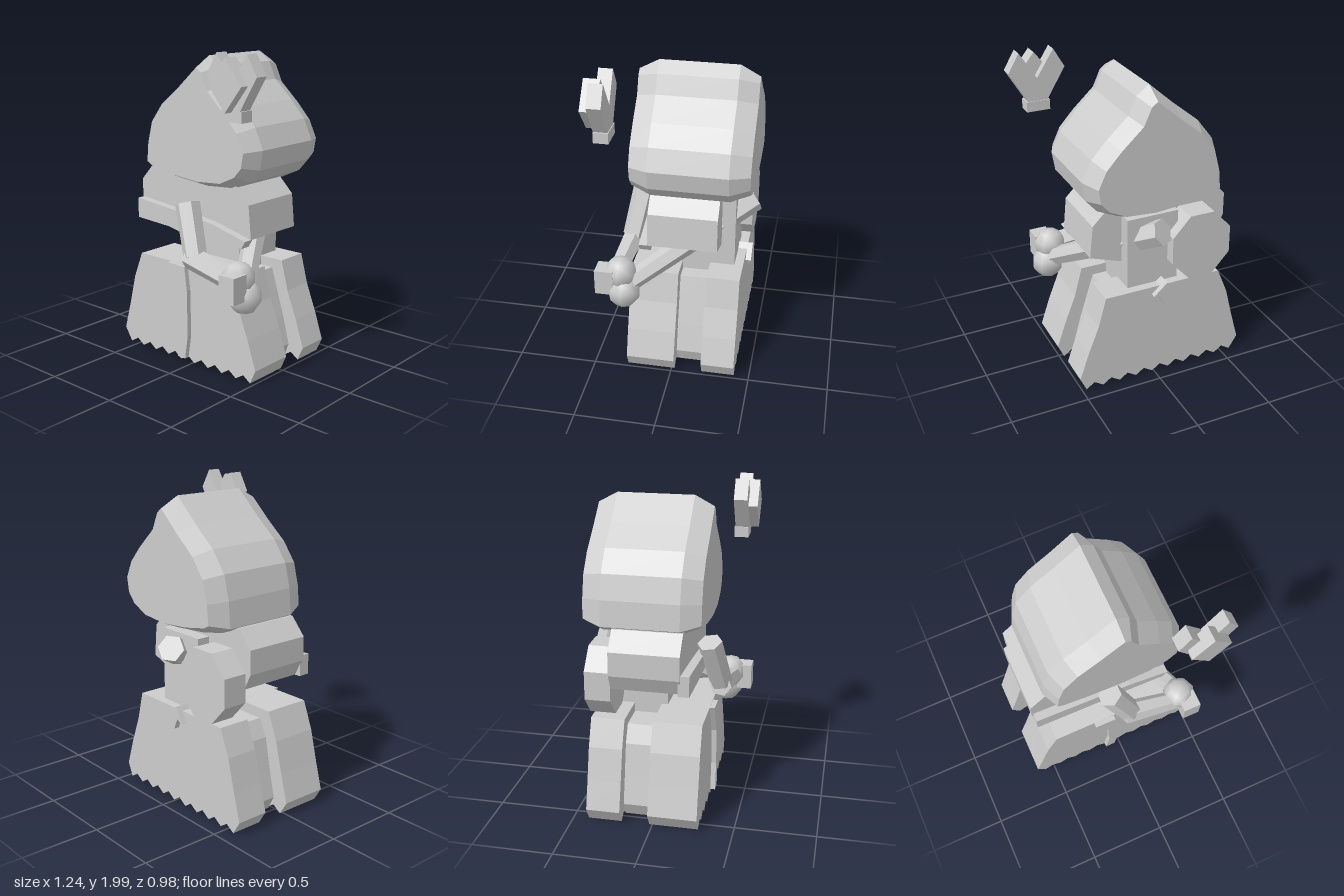
import * as THREE from 'three';

const cloth = new THREE.MeshStandardMaterial({ color: 0xcccccc, flatShading: true });
cloth.name = 'plain grey';
const smooth = new THREE.MeshStandardMaterial({ color: 0xcccccc });
smooth.name = 'smooth grey';

export function createModel() {
  const model = new THREE.Group();

  const add = (name, geometry, material = cloth) => {
    const mesh = new THREE.Mesh(geometry, material);
    mesh.name = name;
    model.add(mesh);
    return mesh;
  };

  // Flat outline extruded between two z planes, with an optional inward bevel
  const slab = (name, points, z0, z1, bevelSize = 0, bevelDepth = 0) => {
    const shape = new THREE.Shape(points.map(([x, y]) => new THREE.Vector2(x, y)));
    const geometry = new THREE.ExtrudeGeometry(shape, {
      depth: z1 - z0 - 2 * bevelDepth,
      bevelEnabled: bevelSize > 0,
      bevelSegments: 1,
      bevelSize,
      bevelOffset: -bevelSize,
      bevelThickness: bevelDepth,
    });
    geometry.translate(0, 0, z0 + bevelDepth);
    return add(name, geometry);
  };

  // Six-sided rod between two points
  const rod = (name, from, to, r0, r1) => {
    const a = new THREE.Vector3(...from);
    const b = new THREE.Vector3(...to);
    const mesh = add(name, new THREE.CylinderGeometry(r1, r0, a.distanceTo(b), 6));
    mesh.position.copy(a).lerp(b, 0.5);
    mesh.quaternion.setFromUnitVectors(new THREE.Vector3(0, 1, 0), b.clone().sub(a).normalize());
    return mesh;
  };

  const box = (name, x0, x1, y0, y1, z0, z1) =>
    add(name, new THREE.BoxGeometry(x1 - x0, y1 - y0, z1 - z0))
      .position.set((x0 + x1) / 2, (y0 + y1) / 2, (z0 + z1) / 2);

  // Pointed hood
  slab('hood', [
    [0.02, 1.95], [-0.15, 1.8], [-0.3, 1.68], [-0.4, 1.55], [-0.44, 1.4], [-0.455, 1.24],
    [-0.38, 1.2], [-0.2, 1.165], [0.02, 1.145], [0.22, 1.16], [0.35, 1.22], [0.42, 1.3],
    [0.44, 1.42], [0.38, 1.55], [0.28, 1.66], [0.15, 1.78], [0.1, 1.89],
  ], -0.455, 0.265, 0.05, 0.12);

  // Shoulder cape and the band across it
  slab('cape', [
    [-0.45, 1.23], [-0.55, 1.12], [-0.55, 0.97], [-0.5, 0.87], [-0.2, 0.81], [0.08, 0.77],
    [0.37, 0.87], [0.35, 1.08], [0.25, 1.18],
  ], -0.265, 0.165);
  slab('capeBand', [
    [-0.54, 1.0], [-0.54, 0.87], [-0.18, 0.85], [0.15, 0.84], [0.34, 0.82], [0.37, 0.87],
    [0.1, 0.935], [-0.16, 0.965],
  ], 0.15, 0.22);

  // Torso
  box('torso', -0.18, 0.16, 0.55, 1.12, -0.35, 0.02);

  // Skirt panels with a ragged hem
  const skirt = (name, scale, top, z0, z1) => {
    const outline = [
      [-0.45, top], [-0.52, 0.48], [-0.57, 0.28], [-0.62, 0.1],
    ];
    const teeth = 9;
    for (let i = 0; i <= teeth; i++) {
      const x = -0.565 + i * 0.115;
      outline.push([x, 0.012]);
      if (i < teeth) outline.push([x + 0.06, 0.05]);
    }
    outline.push([0.51, 0.1], [0.45, 0.28], [0.38, 0.46], [0.33, top]);
    slab(name, outline.map(([x, y]) => [(x + 0.055) * scale - 0.055, y]), z0, z1);
  };
  skirt('frontSkirt', 1, 0.655, -0.02, 0.285);
  skirt('middleSkirt', 0.8, 0.59, -0.195, -0.02);
  skirt('backSkirt', 1, 0.65, -0.405, -0.195);

  // Overlapping fold down the front of the skirt
  slab('skirtFold', [
    [-0.18, 0.655], [-0.09, 0.46], [-0.08, 0.22], [-0.105, 0.04], [-0.04, 0.04],
    [-0.015, 0.2], [-0.02, 0.5], [-0.04, 0.65],
  ], 0.28, 0.317);

  // Round pouch and knot on the back
  const pouch = [];
  for (let i = 0; i < 8; i++) {
    const a = (i + 0.5) * Math.PI / 4;
    pouch.push([-0.31 + 0.215 * Math.cos(a), 0.88 + 0.235 * Math.sin(a)]);
  }
  slab('backPouch', pouch, -0.425, -0.265);
  slab('backKnot', [
    [-0.07, 0.68], [-0.13, 0.58], [-0.08, 0.6], [-0.05, 0.53], [-0.02, 0.59], [0.02, 0.6],
  ], -0.44, -0.34);

  // Arms
  rod('rearArm', [0.42, 0.61, 0.28], [-0.03, 1.045, -0.44], 0.06, 0.085);
  rod('upperArm', [0.06, 0.735, 0.32], [-0.06, 1.045, 0.26], 0.075, 0.08);
  rod('forearm', [0.02, 0.73, 0.32], [0.4, 0.66, 0.36], 0.075, 0.06);

  // Hands, rounded with few facets
  [['upperHand', 0.41, 0.68, 0.33], ['lowerHand', 0.44, 0.565, 0.305]].forEach(([name, x, y, z]) => {
    add(name, new THREE.SphereGeometry(0.105, 8, 5), smooth).position.set(x, y, z);
  });
  box('handle', 0.385, 0.5, 0.565, 0.73, 0.36, 0.475);

  // Floating flower: V-shaped petals, a diamond petal and a base
  slab('sidePetals', [
    [0.26, 1.88], [0.38, 1.68], [0.5, 1.68], [0.62, 1.88], [0.55, 2.0], [0.44, 1.83], [0.33, 2.0],
  ], 0.345, 0.43);
  slab('frontPetal', [[0.44, 1.98], [0.32, 1.83], [0.44, 1.675], [0.56, 1.83]], 0.39, 0.488);
  box('flowerBase', 0.365, 0.515, 1.62, 1.685, 0.34, 0.43);

  return model;
}
